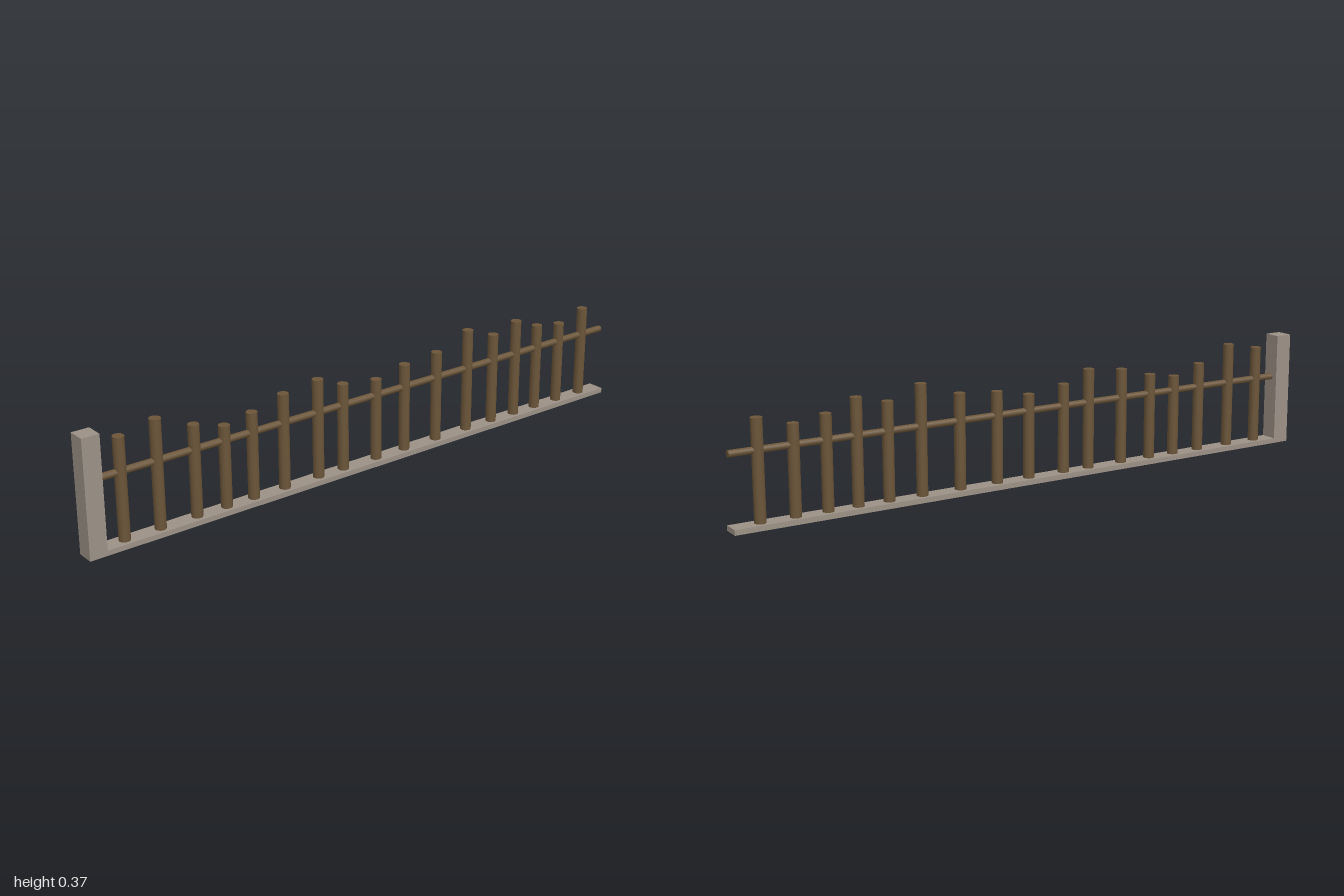
import * as THREE from 'three';

export function createModel() {
  const group = new THREE.Group();
  const stone = new THREE.MeshStandardMaterial({ color: 0x9c9186 });
  const wood = new THREE.MeshStandardMaterial({ color: 0x6b5539 });

  const add = (name, geometry, material, x, y) => {
    const mesh = new THREE.Mesh(geometry, material);
    mesh.name = name;
    mesh.position.set(x, y, 0);
    group.add(mesh);
    return mesh;
  };

  // Stone footing strip and end post
  const depth = 0.056, baseTop = 0.016;
  add('base', new THREE.BoxGeometry(2, baseTop, depth), stone, 0, baseTop / 2);
  add('endPost', new THREE.BoxGeometry(0.056, 0.368 - baseTop, depth), stone, -0.972, (0.368 + baseTop) / 2);

  // Horizontal rail running from the post to the open end
  const railStart = -0.945;
  const rail = add('rail', new THREE.CylinderGeometry(0.011, 0.011, 1 - railStart, 12), wood, (1 + railStart) / 2, 0.227);
  rail.rotation.z = Math.PI / 2;

  // Uneven round pickets: [x, top height]
  const pickets = [
    [-0.874, 0.334], [-0.757, 0.356], [-0.634, 0.305], [-0.532, 0.275], [-0.436, 0.291],
    [-0.324, 0.32], [-0.198, 0.334], [-0.104, 0.297], [0.024, 0.28], [0.137, 0.302],
    [0.267, 0.312], [0.397, 0.356], [0.507, 0.317], [0.607, 0.341], [0.703, 0.305],
    [0.804, 0.29], [0.912, 0.32],
  ];
  for (const [x, top] of pickets) {
    const height = top - baseTop;
    add('picket', new THREE.CylinderGeometry(0.0175, 0.0175, height, 12), wood, x, baseTop + height / 2);
  }
  return group;
}
